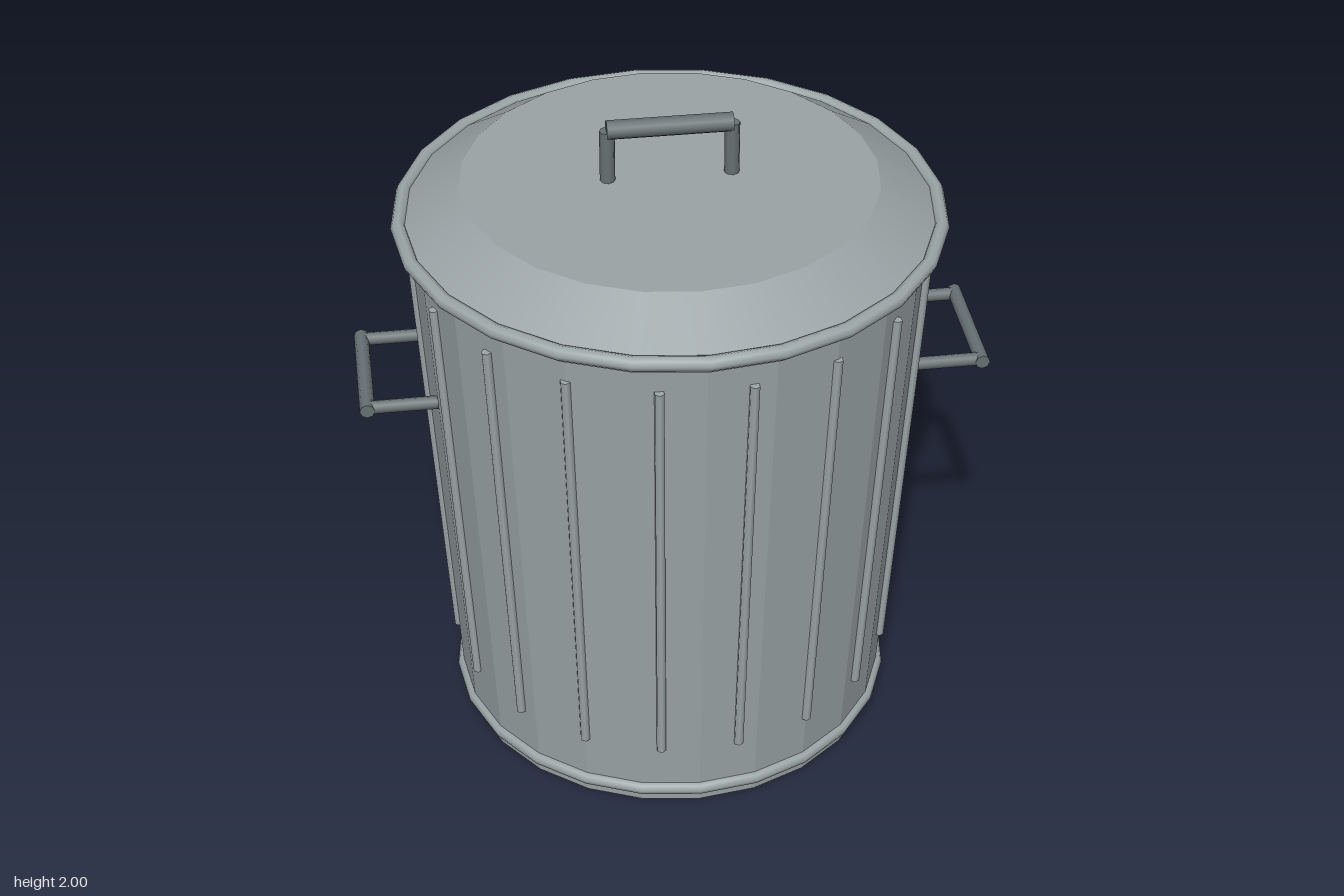
import * as THREE from 'three';

const mat = (name, color, flatShading = false) => {
  const m = new THREE.MeshStandardMaterial({ color, flatShading });
  m.name = name;
  return m;
};

export function createModel() {
  const root = new THREE.Group();
  root.name = 'trashCan';
  const steel = mat('galvanised steel', 0x9aa3a5, true);
  const rimSteel = mat('rim steel', 0x9ca6a7);
  const dark = mat('dark handle steel', 0x677173);

  const add = (name, geometry, material, parent = root) => {
    const mesh = new THREE.Mesh(geometry, material);
    mesh.name = name;
    parent.add(mesh);
    return mesh;
  };

  // Straight round bar between two points
  const bar = (name, a, b, radius, sides, material, parent) => {
    const from = new THREE.Vector3(...a), to = new THREE.Vector3(...b);
    const dir = to.clone().sub(from);
    const mesh = add(name, new THREE.CylinderGeometry(radius, radius, dir.length(), sides), material, parent);
    mesh.position.copy(from).add(to).multiplyScalar(0.5);
    mesh.quaternion.setFromUnitVectors(new THREE.Vector3(0, 1, 0), dir.normalize());
    return mesh;
  };

  // Tapered body
  const bottomR = 0.66, topR = 0.75, bodyH = 1.69;
  add('body', new THREE.CylinderGeometry(topR, bottomR, bodyH, 24), steel).position.y = bodyH / 2;

  // Rolled rims
  const ring = (name, radius, tube, y) => {
    const mesh = add(name, new THREE.TorusGeometry(radius, tube, 8, 24), rimSteel);
    mesh.rotation.x = Math.PI / 2;
    mesh.position.y = y;
  };
  ring('bottomRim', 0.66, 0.022, 0.05);
  ring('lidRim', 0.777, 0.022, 1.7);

  // Vertical ribs following the taper
  const ribs = new THREE.Group();
  ribs.name = 'ribs';
  root.add(ribs);
  for (let i = 0; i < 18; i++) {
    const t = (i / 18) * Math.PI * 2;
    const at = (y) => {
      const r = bottomR + (topR - bottomR) * (y / bodyH);
      return [Math.cos(t) * r, y, Math.sin(t) * r];
    };
    bar('rib', at(0.22), at(1.585), 0.015, 6, rimSteel, ribs);
  }

  // Lid: short skirt and sloped top
  add('lidSkirt', new THREE.CylinderGeometry(0.77, 0.77, 0.035, 24), steel).position.y = 1.683;
  add('lid', new THREE.CylinderGeometry(0.6, 0.77, 0.11, 24), mat('lid steel', 0x9aa3a5)).position.y = 1.755;

  // Lid handle
  const lidHandle = new THREE.Group();
  lidHandle.name = 'lidHandle';
  root.add(lidHandle);
  bar('lidGrip', [-0.18, 1.972, 0], [0.18, 1.972, 0], 0.028, 10, dark, lidHandle);
  for (const s of [-1, 1]) bar('lidPost', [s * 0.178, 1.8, 0], [s * 0.178, 1.97, 0], 0.022, 8, dark, lidHandle);

  // Side handles
  for (const s of [-1, 1]) {
    const handle = new THREE.Group();
    handle.name = s > 0 ? 'leftHandle' : 'rightHandle';
    root.add(handle);
    bar('grip', [s * 0.905, 1.21, -0.195], [s * 0.905, 1.21, 0.195], 0.022, 8, dark, handle);
    for (const z of [-0.175, 0.175]) bar('arm', [s * 0.7, 1.21, z], [s * 0.91, 1.21, z], 0.02, 8, dark, handle);
  }
  return root;
}
